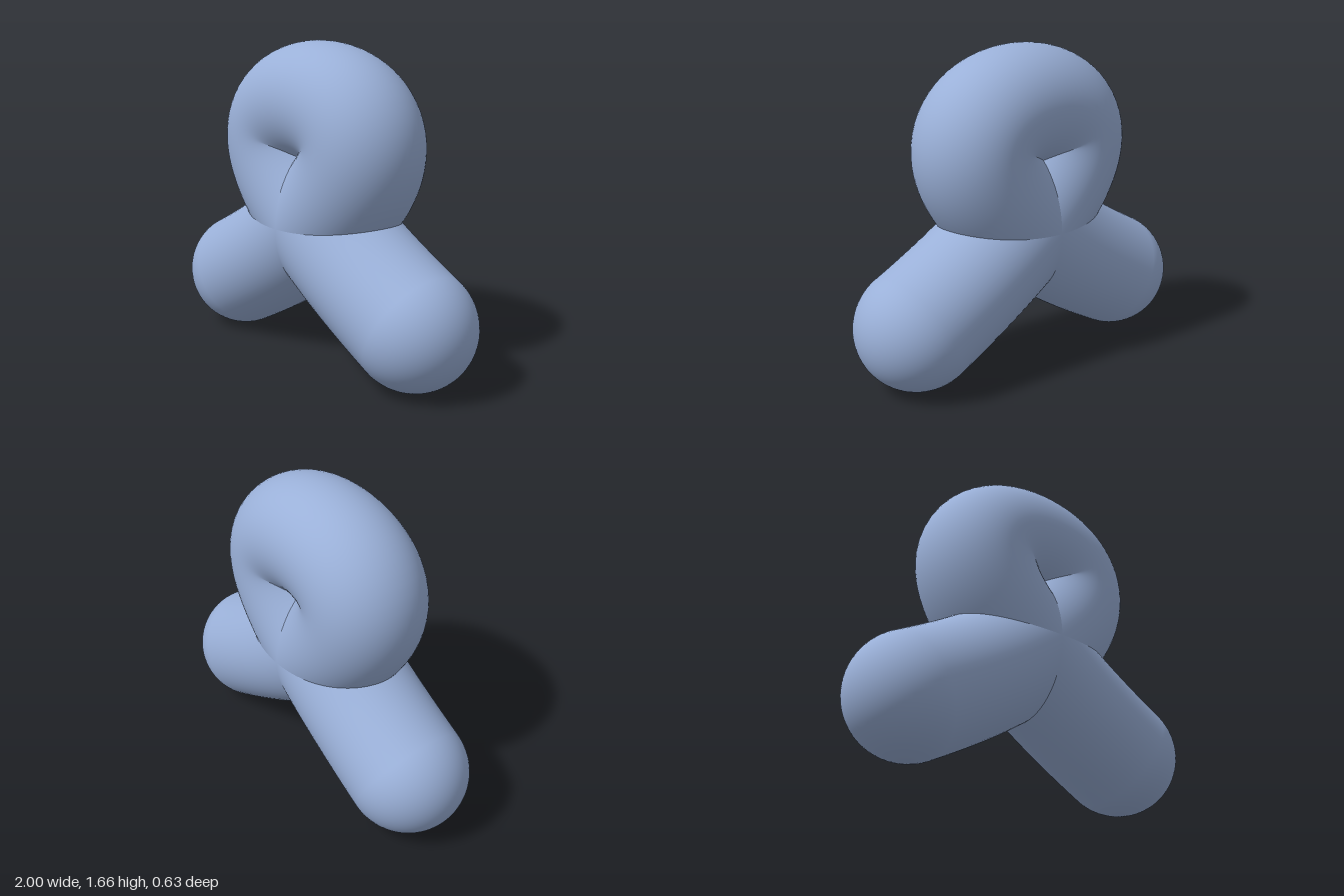
import * as THREE from 'three';

const RADIUS = 0.315;
const END_X = 0.685;

export function createModel() {
  const group = new THREE.Group();
  group.name = 'loopedTube';
  const material = new THREE.MeshStandardMaterial({ color: 0x9ab0d8 });

  // Centre line: one cubic curve that crosses itself to form the loop
  const path = new THREE.CubicBezierCurve3(
    new THREE.Vector3(END_X, RADIUS, 0),
    new THREE.Vector3(-3 * END_X, 1.688, 0),
    new THREE.Vector3(3 * END_X, 1.688, 0),
    new THREE.Vector3(-END_X, RADIUS, 0)
  );

  // Thick round tube swept along the curve
  const tube = new THREE.Mesh(new THREE.TubeGeometry(path, 160, RADIUS, 64, false), material);
  tube.name = 'loopTube';
  group.add(tube);

  // Hemispherical caps pointing outwards at both ends
  const capGeometry = new THREE.SphereGeometry(RADIUS, 64, 24, 0, Math.PI * 2, 0, Math.PI / 2);
  const up = new THREE.Vector3(0, 1, 0);
  for (const [t, name] of [[0, 'leftEndCap'], [1, 'rightEndCap']]) {
    const cap = new THREE.Mesh(capGeometry, material);
    const outward = path.getTangent(t).multiplyScalar(t === 0 ? -1 : 1);
    cap.quaternion.setFromUnitVectors(up, outward);
    cap.position.copy(path.getPoint(t));
    cap.name = name;
    group.add(cap);
  }
  return group;
}
